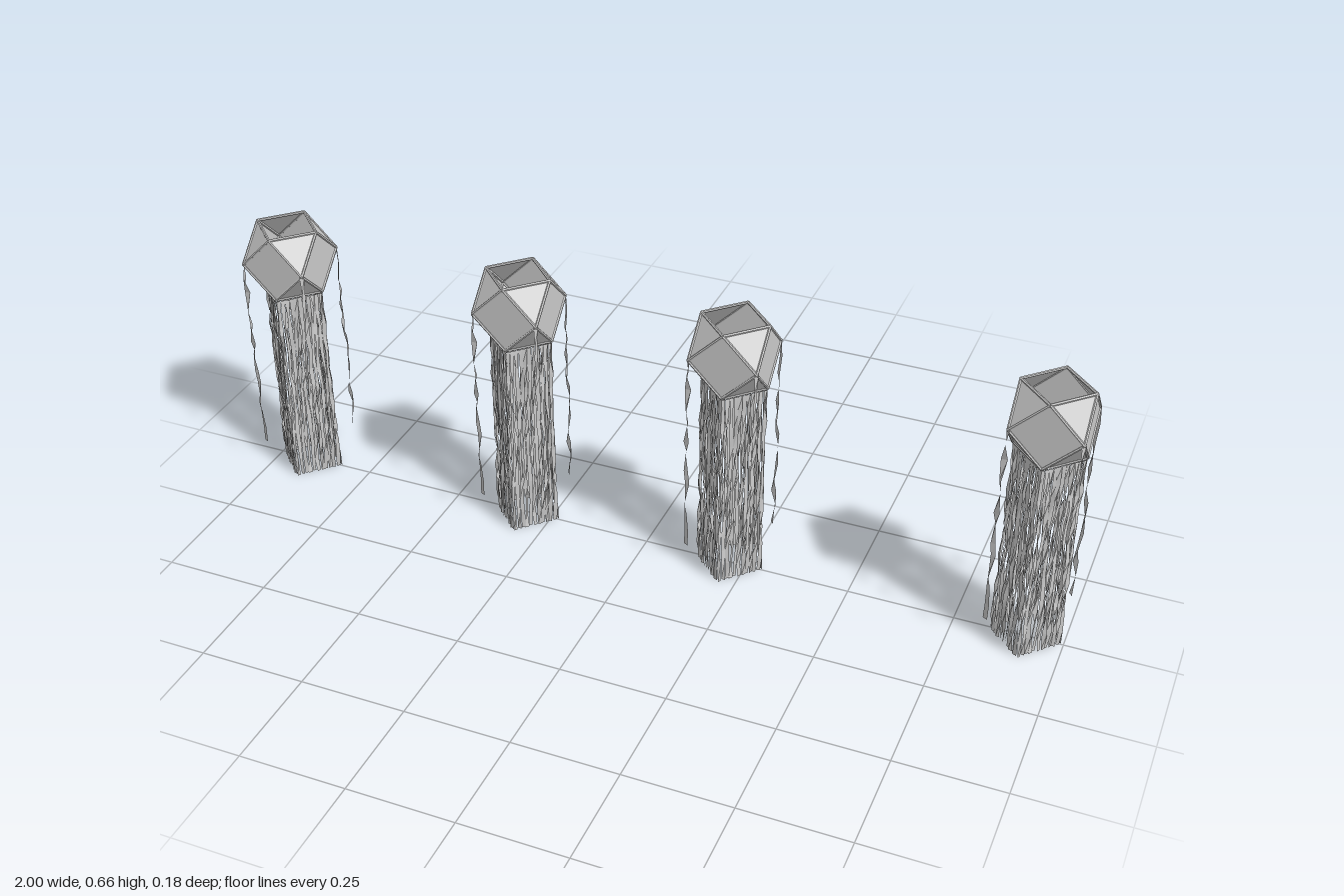
import * as THREE from 'three';
import { mergeGeometries } from 'three/addons/utils/BufferGeometryUtils.js';

const A = 0.079;        // half size of the lantern body
const CY = 0.582;       // height of the body centre
const BAR = 0.0035;     // frame bar radius
const TAIL = 0.498;     // length of the paper tails

let seed = 7;
const rand = () => {
  seed = (seed * 16807) % 2147483647;
  return seed / 2147483647;
};
const jitter = (s) => (rand() * 2 - 1) * s;
const v = (x, y, z) => new THREE.Vector3(x * A, y * A, z * A);

// One rectangular-section bar between two points
function bar(a, b) {
  const dir = b.clone().sub(a);
  const g = new THREE.CylinderGeometry(BAR, BAR, dir.length(), 6);
  g.applyQuaternion(new THREE.Quaternion().setFromUnitVectors(new THREE.Vector3(0, 1, 0), dir.normalize()));
  const m = a.clone().add(b).multiplyScalar(0.5);
  return g.translate(m.x, m.y, m.z);
}

// Twelve corner points of a cuboctahedron, bars along every edge
function frameGeometry() {
  const pts = [];
  for (const s of [-1, 1]) for (const t of [-1, 1]) pts.push(v(s, t, 0), v(s, 0, t), v(0, s, t));
  const bars = [];
  pts.forEach((p, i) => pts.slice(i + 1).forEach((q) => {
    if (p.distanceTo(q) < A * 1.5) bars.push(bar(p, q));
  }));
  return mergeGeometries(bars);
}

// Four diamond sides and eight triangles; top and bottom stay open
function panelGeometry() {
  const pos = [];
  const tri = (a, b, c) => {
    const n = b.clone().sub(a).cross(c.clone().sub(a));
    const out = n.dot(a.clone().add(b).add(c)) > 0;
    for (const p of out ? [a, b, c] : [a, c, b]) pos.push(p.x, p.y, p.z);
  };
  for (const s of [-1, 1]) {
    tri(v(s, 1, 0), v(s, 0, 1), v(s, -1, 0));
    tri(v(s, 1, 0), v(s, -1, 0), v(s, 0, -1));
    tri(v(0, 1, s), v(1, 0, s), v(0, -1, s));
    tri(v(0, 1, s), v(0, -1, s), v(-1, 0, s));
    for (const t of [-1, 1]) for (const u of [-1, 1]) tri(v(s, t, 0), v(s, 0, u), v(0, t, u));
  }
  const g = new THREE.BufferGeometry();
  g.setAttribute('position', new THREE.Float32BufferAttribute(pos, 3));
  g.computeVertexNormals();
  return g;
}

// Crumpled paper strip hanging from a point; angle is its heading around y
function stripGeometry(x, y, z, angle, width, wobble) {
  const rows = 12;
  const pos = [];
  const index = [];
  for (let i = 0; i <= rows; i++) {
    const twist = angle + (i ? jitter(0.9) : 0);
    const w = width * (0.75 + rand() * 0.5) / 2;
    const cx = x + (i ? jitter(wobble) : 0);
    const cz = z + (i ? jitter(wobble) : 0);
    const drop = i && i < rows ? jitter(0.008) : 0;
    const dx = Math.cos(twist) * w;
    const dz = -Math.sin(twist) * w;
    const py = y - (TAIL * i) / rows + drop;
    pos.push(cx - dx, py, cz - dz, cx + dx, py, cz + dz);
    const k = i * 2;
    if (i < rows) index.push(k, k + 2, k + 1, k + 1, k + 2, k + 3);
  }
  const g = new THREE.BufferGeometry();
  g.setAttribute('position', new THREE.Float32BufferAttribute(pos, 3));
  g.setIndex(index);
  g.computeVertexNormals();
  return g;
}

// Fringe along the four edges of the bottom opening
function skirtGeometry() {
  const strips = [];
  const count = 11;
  const y = -CY + TAIL;
  for (let side = 0; side < 4; side++) {
    const a = (side * Math.PI) / 2;
    for (let i = 0; i < count; i++) {
      const f = (i + 0.5) / count;
      const x = A * (Math.cos(a) * (1 - f) - Math.sin(a) * f);
      const z = A * (Math.sin(a) * (1 - f) + Math.cos(a) * f);
      strips.push(stripGeometry(x, y, z, Math.PI / 4 - a + Math.PI * 2, 0.0095, 0.0025));
    }
  }
  return mergeGeometries(strips);
}

// Single tails at the four middle corners
function tailGeometry() {
  const strips = [];
  for (const s of [-1, 1]) for (const t of [-1, 1]) {
    strips.push(stripGeometry(s * A, 0, t * A, (s * t * Math.PI) / 4, 0.012, 0.003));
  }
  return mergeGeometries(strips);
}

export function createModel() {
  seed = 7;
  const model = new THREE.Group();
  model.name = 'lanternRow';
  const solid = new THREE.MeshStandardMaterial({ color: 0xcccccc, flatShading: true });
  const paper = new THREE.MeshStandardMaterial({ color: 0xcccccc, flatShading: true, side: THREE.DoubleSide });
  const parts = [
    ['frame', frameGeometry(), solid],
    ['paperPanels', panelGeometry(), paper],
    ['skirtStrips', skirtGeometry(), paper],
    ['cornerTails', tailGeometry(), paper],
  ];
  [-0.912, -0.313, 0.208, 0.912].forEach((x, i) => {
    const lantern = new THREE.Group();
    lantern.name = `lantern${i + 1}`;
    lantern.position.set(x, CY, 0);
    for (const [name, geometry, material] of parts) {
      const mesh = new THREE.Mesh(geometry, material);
      mesh.name = name;
      lantern.add(mesh);
    }
    model.add(lantern);
  });
  return model;
}
